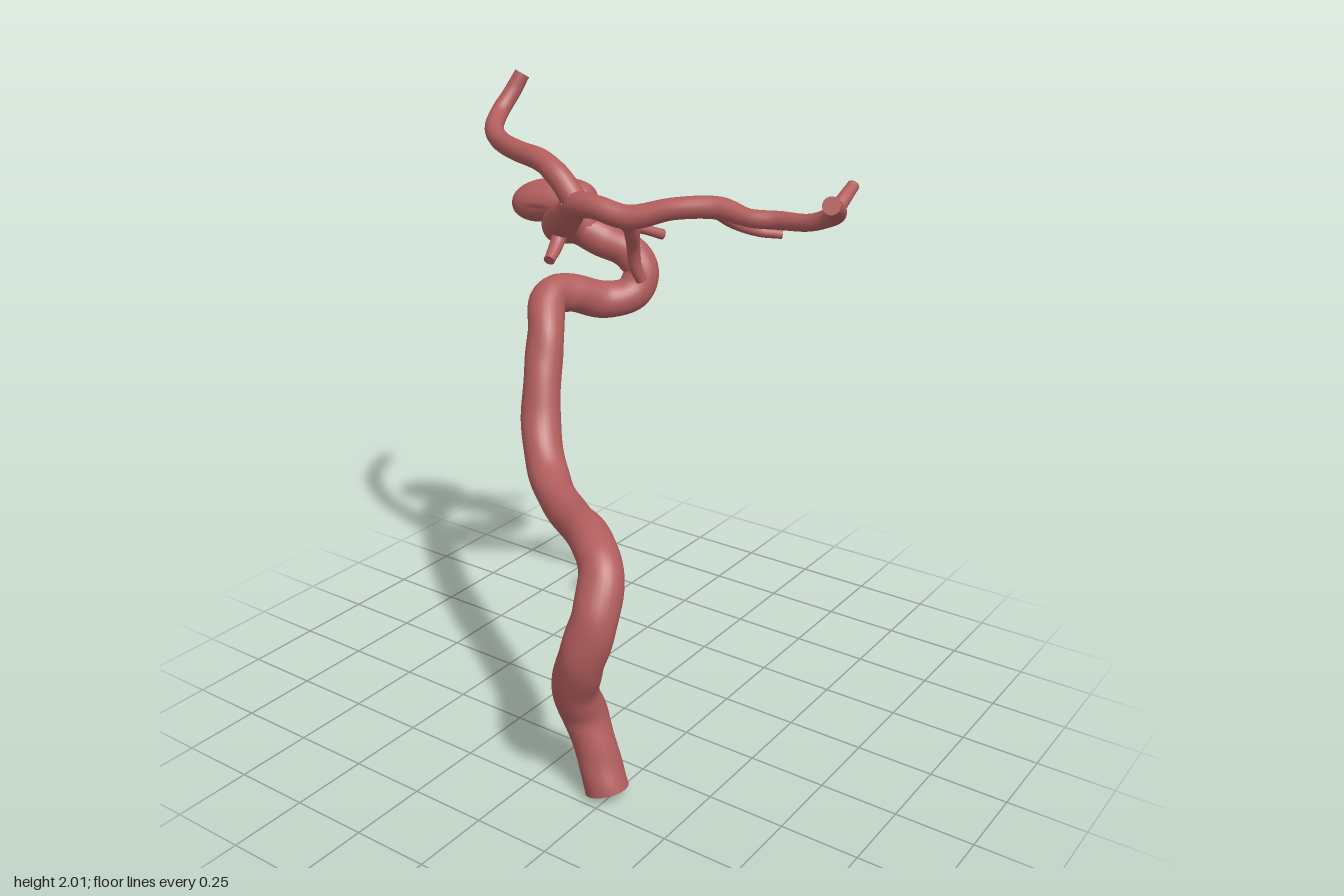
import * as THREE from 'three';

const material = new THREE.MeshStandardMaterial({ color: 0xb25d5d, roughness: 0.7 });

// Sweeps a round section along a smooth path of [x, y, z, radius] points
function vessel(name, pts, { sides = 20, steps = 8, wobble = 0 } = {}) {
  const path = new THREE.CatmullRomCurve3(pts.map(p => new THREE.Vector3(p[0], p[1], p[2])));
  const n = (pts.length - 1) * steps;
  const radiusAt = t => {
    const f = Math.min(t * (pts.length - 1), pts.length - 1.0001);
    const i = Math.floor(f);
    return THREE.MathUtils.lerp(pts[i][3], pts[i + 1][3], THREE.MathUtils.smoothstep(f - i, 0, 1));
  };
  const pos = [], index = [];
  const normal = new THREE.Vector3(0.31, 0.22, 0.92), side = new THREE.Vector3(), v = new THREE.Vector3();
  for (let i = 0; i <= n; i++) {
    const t = i / n, c = path.getPoint(t), tan = path.getTangent(t), r = radiusAt(t);
    normal.addScaledVector(tan, -normal.dot(tan)).normalize();
    side.crossVectors(tan, normal);
    for (let j = 0; j < sides; j++) {
      const a = (j / sides) * Math.PI * 2;
      const k = r * (1 + wobble * Math.sin(2 * a + i * 0.35) * Math.cos(i * 0.23));
      v.copy(c).addScaledVector(normal, Math.cos(a) * k).addScaledVector(side, Math.sin(a) * k);
      pos.push(v.x, v.y, v.z);
      if (i < n) {
        const j2 = (j + 1) % sides, p = i * sides, q = p + sides;
        index.push(p + j, p + j2, q + j, p + j2, q + j2, q + j);
      }
    }
  }
  // Flat caps with their own vertices, so the cut edge stays crisp
  for (const end of [0, n]) {
    const base = pos.length / 3, c = path.getPoint(end / n);
    for (let j = 0; j < sides; j++) {
      const o = (end * sides + j) * 3;
      pos.push(pos[o], pos[o + 1], pos[o + 2]);
    }
    pos.push(c.x, c.y, c.z);
    for (let j = 0; j < sides; j++) {
      const a = base + j, b = base + (j + 1) % sides;
      index.push(base + sides, ...(end ? [a, b] : [b, a]));
    }
  }
  const g = new THREE.BufferGeometry();
  g.setAttribute('position', new THREE.Float32BufferAttribute(pos, 3));
  g.setIndex(index);
  g.computeVertexNormals();
  const mesh = new THREE.Mesh(g, material);
  mesh.name = name;
  return mesh;
}

// Swollen sac: a sphere stretched and dented into two lobes
function sac() {
  const g = new THREE.SphereGeometry(1, 40, 28);
  const p = g.attributes.position;
  for (let i = 0; i < p.count; i++) {
    const x = p.getX(i), y = p.getY(i), z = p.getZ(i);
    const full = Math.pow(Math.max(0, 1 - x * x), -0.12 * (Math.abs(x) < 0.98 ? 1 : 0));
    const waist = 1 - 0.1 * Math.exp(-Math.pow((x + 0.1) / 0.3, 2)) * (y < 0 ? 1 : 0.2);
    p.setXYZ(i,
      x * 0.135,
      y * 0.078 * full * waist + 0.012 * x,
      z * 0.088 * full * waist - 0.035 * x);
  }
  g.computeVertexNormals();
  const mesh = new THREE.Mesh(g, material);
  mesh.name = 'aneurysmSac';
  mesh.position.set(-0.535, 1.597, -0.35);
  return mesh;
}

export function createModel() {
  const model = new THREE.Group();
  model.name = 'artery';
  model.add(
    // Main trunk from the cut base up through the tight loop to the fork
    vessel('mainArtery', [
      [0.237, 0.022, 0.425, 0.07], [0.2, 0.13, 0.42, 0.066], [0.155, 0.25, 0.42, 0.07],
      [0.15, 0.35, 0.46, 0.071], [0.19, 0.46, 0.5, 0.071], [0.228, 0.56, 0.51, 0.07],
      [0.245, 0.66, 0.485, 0.069], [0.22, 0.76, 0.425, 0.067], [0.13, 0.81, 0.355, 0.064],
      [0, 0.81, 0.27, 0.062], [-0.13, 0.825, 0.185, 0.062], [-0.225, 0.885, 0.115, 0.063],
      [-0.285, 1.0, 0.06, 0.062], [-0.315, 1.15, 0.005, 0.06], [-0.34, 1.26, -0.045, 0.06],
      [-0.385, 1.34, -0.12, 0.061], [-0.37, 1.34, -0.21, 0.062], [-0.31, 1.3, -0.32, 0.06],
      [-0.252, 1.315, -0.4, 0.06], [-0.245, 1.385, -0.44, 0.06], [-0.285, 1.44, -0.43, 0.06],
      [-0.37, 1.48, -0.4, 0.062], [-0.445, 1.525, -0.35, 0.062], [-0.44, 1.545, -0.26, 0.06],
      [-0.375, 1.575, -0.175, 0.058], [-0.29, 1.625, -0.09, 0.053], [-0.205, 1.685, -0.03, 0.043],
    ], { sides: 28, wobble: 0.04 }),

    // Sac and its neck
    sac(),
    vessel('sacNeck', [
      [-0.42, 1.5, -0.37, 0.06], [-0.44, 1.555, -0.37, 0.064], [-0.47, 1.6, -0.365, 0.07],
    ]),

    // Branch that sweeps to the right and rises to the top
    vessel('rightBranch', [
      [-0.19, 1.67, -0.035, 0.03], [-0.215, 1.71, -0.03, 0.04], [-0.265, 1.765, -0.03, 0.038],
      [-0.34, 1.802, -0.045, 0.035], [-0.47, 1.815, -0.08, 0.033], [-0.59, 1.822, -0.145, 0.032],
      [-0.675, 1.843, -0.215, 0.031], [-0.713, 1.88, -0.29, 0.03], [-0.703, 1.94, -0.345, 0.028],
      [-0.683, 1.998, -0.375, 0.026],
    ]),

    // Branch that runs to the left
    vessel('leftBranch', [
      [-0.24, 1.66, -0.05, 0.04], [-0.19, 1.69, -0.02, 0.042], [-0.11, 1.7, 0, 0.037],
      [0, 1.68, -0.02, 0.037], [0.125, 1.713, -0.07, 0.033], [0.245, 1.72, -0.13, 0.034],
      [0.35, 1.705, -0.13, 0.027], [0.43, 1.705, -0.155, 0.027], [0.54, 1.717, -0.14, 0.025],
      [0.62, 1.75, -0.12, 0.027], [0.68, 1.79, -0.03, 0.025], [0.716, 1.83, 0.076, 0.025],
    ]),

    // Small side vessels
    vessel('leftTipTwig', [
      [0.615, 1.745, -0.12, 0.028], [0.618, 1.775, -0.165, 0.021], [0.618, 1.815, -0.24, 0.018],
    ], { sides: 14 }),
    vessel('backTwig', [
      [0.24, 1.72, -0.12, 0.026], [0.235, 1.68, -0.18, 0.018], [0.243, 1.645, -0.245, 0.016],
      [0.28, 1.618, -0.31, 0.016], [0.338, 1.61, -0.347, 0.014],
    ], { sides: 14 }),
    vessel('hangingTwig', [
      [-0.01, 1.68, -0.02, 0.034], [-0.018, 1.63, -0.06, 0.024], [-0.045, 1.56, -0.11, 0.021],
      [-0.052, 1.5, -0.13, 0.02], [-0.043, 1.45, -0.15, 0.018],
    ], { sides: 14 }),
    vessel('rearTwig', [
      [-0.42, 1.52, -0.4, 0.03], [-0.37, 1.54, -0.445, 0.021], [-0.31, 1.515, -0.485, 0.019],
      [-0.275, 1.495, -0.53, 0.017], [-0.25, 1.476, -0.575, 0.018],
    ], { sides: 14 }),
    vessel('trunkStub', [
      [-0.335, 1.58, -0.13, 0.028], [-0.325, 1.53, -0.085, 0.022], [-0.31, 1.497, -0.03, 0.018],
    ], { sides: 14 }),
  );
  return model;
}
